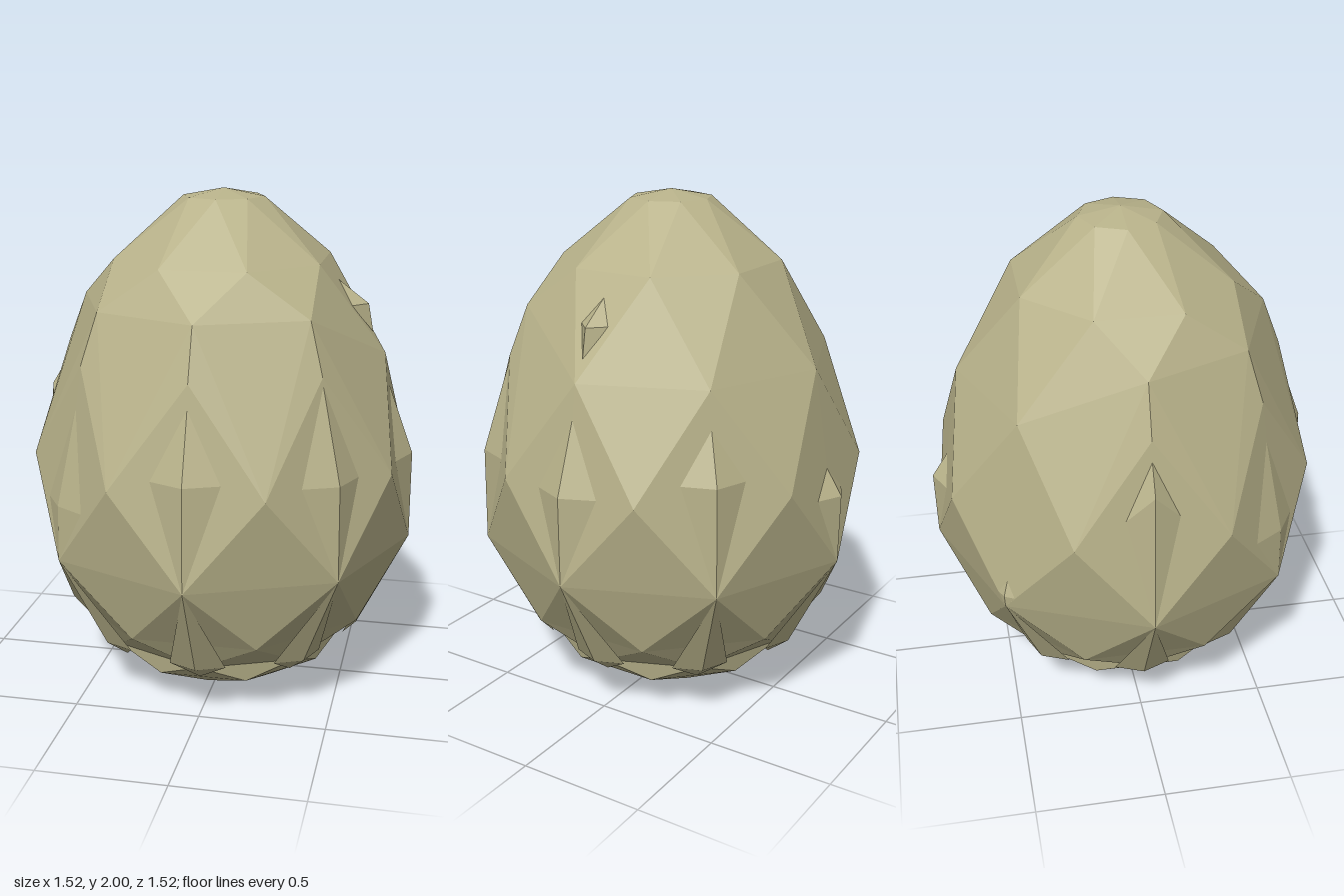
import * as THREE from 'three';
import { ConvexGeometry } from 'three/addons/geometries/ConvexGeometry.js';

const STEP = Math.PI / 4;
const polar = (r, y, a) => new THREE.Vector3(r * Math.sin(a), y, r * Math.cos(a));

// octagonal ring; half = true turns it by half a step
const ring = (r, y, half) =>
  Array.from({ length: 8 }, (_, i) => polar(r, y, (i + (half ? 0.5 : 0)) * STEP));

function facets(points) {
  const g = new THREE.BufferGeometry().setFromPoints(points);
  g.computeVertexNormals();
  return g;
}

// four-sided raised scale around a peak; bottom, peak, top are [radius, y], side is [halfWidth, radius, y]
function scale(bottom, peak, top, side) {
  const at = ([r, y], x = 0) => new THREE.Vector3(x, y, r);
  const [w, r, y] = side;
  const rim = [at(bottom), at([r, y], w), at(top), at([r, y], -w)];
  const p = at(peak);
  return facets(rim.flatMap((v, i) => [p, v, rim[(i + 1) % 4]]));
}

export function createModel() {
  const model = new THREE.Group();
  const material = new THREE.MeshStandardMaterial({ color: 0xb8b28a, flatShading: true });
  const add = (name, geometry, angle = 0) => {
    const mesh = new THREE.Mesh(geometry, material);
    mesh.name = name;
    mesh.rotation.y = angle;
    model.add(mesh);
  };

  // upper shell: kite facets, with a brow ledge across the front and right
  const shell = [
    ...ring(0.76, 0.63), ...ring(0.76, 0.98, true), ...ring(0.64, 1.38),
    ...ring(0.43, 1.74, true), ...ring(0.16, 1.97), new THREE.Vector3(0, 2, 0),
  ];
  for (const i of [-2, -1, 0, 1]) shell.push(polar(0.565, 1.575, i * STEP));
  add('upperShell', new ConvexGeometry(shell));

  // lower shell: staggered rings closing to a point
  const levels = [[0.76, 0.63], [0.63, 0.35], [0.5, 0.21], [0.45, 0.13], [0.31, 0.06], [0.16, 0.018], [0, 0]];
  const rings = levels.map(([r, y], k) => ring(r, y, k % 2 === 1));
  const tris = [];
  for (let k = 0; k < rings.length - 1; k++) {
    const a = rings[k], b = rings[k + 1];
    for (let i = 0; i < 8; i++) {
      const j = (i + 1) % 8;
      if (k % 2 === 0) tris.push(a[i], b[i], a[j], b[i], b[j], a[j]);
      else tris.push(a[i], b[j], a[j], a[i], b[i], b[j]);
    }
  }
  add('lowerShell', facets(tris));

  // lower scales with an undercut lip
  for (let i = 0; i < 8; i++) {
    add('lowerScale', scale([0.47, 0.16], [0.56, 0.23], [0.76, 0.63], [0.11, 0.515, 0.23]), i * STEP);
  }

  // side scales of uneven height: peak radius, peak y, top y, half width
  const kite = (y) => 0.76 - 0.16 * (y - 0.63);
  const scales = [
    [0.75, 1.03, 1.29, 0.13], [0.755, 1.0, 1.35, 0.13], [0.76, 0.98, 1.25, 0.13], [0.75, 1.05, 1.24, 0.12],
    [0.765, 0.9, 1.0, 0.1], [0.765, 0.68, 0.74, 0.04], [0.72, 1.19, 1.3, 0.1], [0.755, 0.85, 1.22, 0.13],
  ];
  scales.forEach(([r, y, top, w], i) => {
    const mid = Math.min(y, 1.08);
    add('sideScale', scale([0.76, 0.63], [r, y], [kite(top), top], [w, kite(mid), mid]), i * STEP);
  });

  // small spur high on the left
  add('upperSpur', scale([0.59, 1.46], [0.57, 1.57], [0.45, 1.66], [0.06, 0.51, 1.57]), 2 * STEP);

  return model;
}
